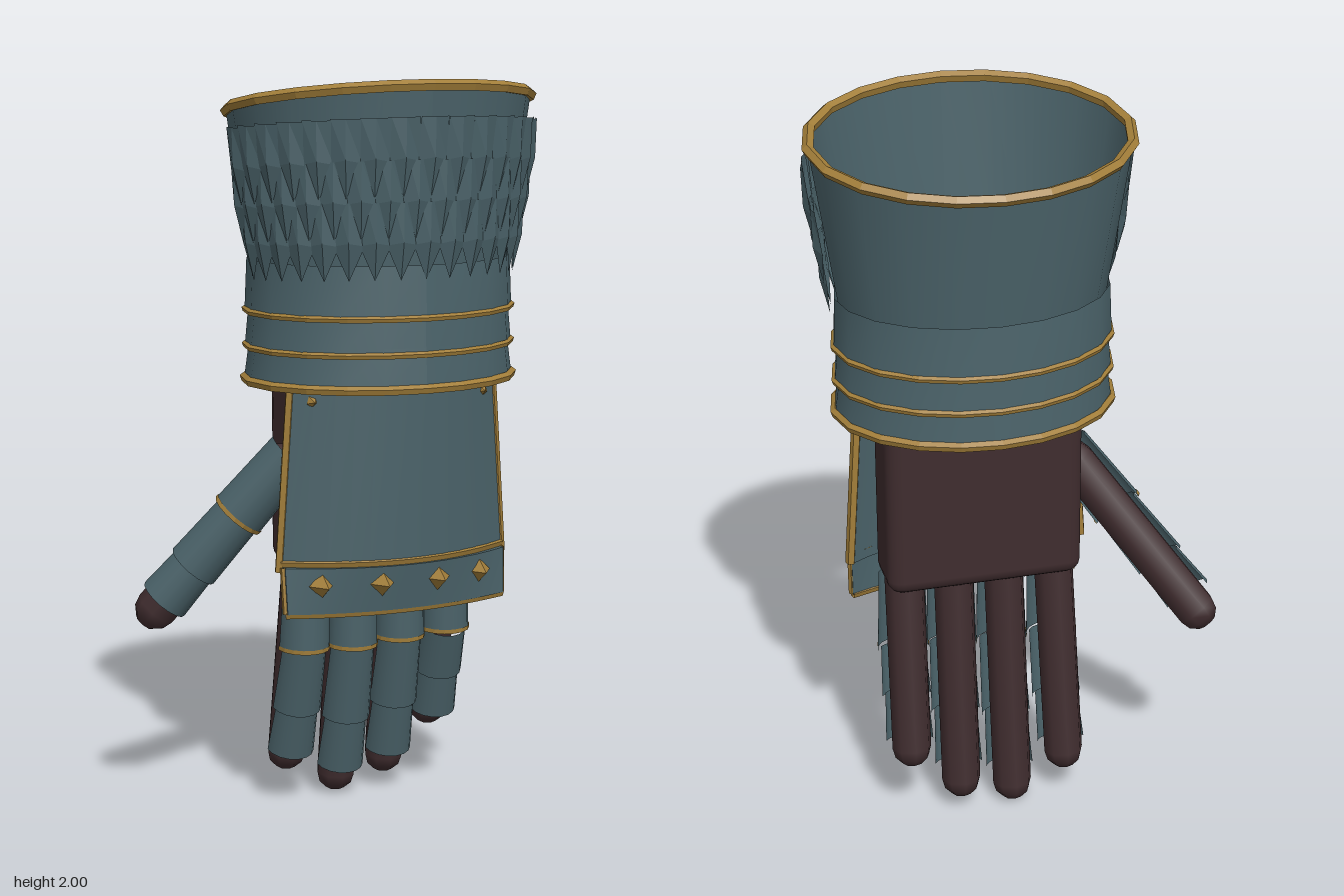
import * as THREE from 'three';
import { RoundedBoxGeometry } from 'three/addons/geometries/RoundedBoxGeometry.js';
import { mergeGeometries } from 'three/addons/utils/BufferGeometryUtils.js';

const V = (x, y, z) => new THREE.Vector3(x, y, z);
const CX = 0.105, CZ = -0.005;

export function createModel() {
  const group = new THREE.Group();
  const mat = (name, color, flatShading = false) => {
    const m = new THREE.MeshStandardMaterial({ color, side: THREE.DoubleSide, flatShading });
    m.name = name;
    return m;
  };
  const steel = mat('steel', 0x4b636a);
  const gold = mat('gold', 0xa27e39, true);
  const leather = mat('leather', 0x3f2c2e);

  const add = (name, geometry, material, parent = group) => {
    const mesh = new THREE.Mesh(geometry, material);
    mesh.name = name;
    parent.add(mesh);
    return mesh;
  };
  const tube = (points, r, closed = false, n = 20) =>
    new THREE.TubeGeometry(new THREE.CatmullRomCurve3(points, closed), n, r, 5, closed);

  // Place a mesh so its y axis runs from bottom to top and its z axis looks along face
  const orient = (mesh, top, bottom, face) => {
    const y = top.clone().sub(bottom).normalize();
    const x = y.clone().cross(face).normalize();
    const z = x.clone().cross(y);
    mesh.quaternion.setFromRotationMatrix(new THREE.Matrix4().makeBasis(x, y, z));
    mesh.position.copy(top).add(bottom).multiplyScalar(0.5);
  };

  // Oval open sleeve, optionally with a sloping top edge
  const sleeve = (y0, rx0, rz0, y1, rx1, rz1, slope = 0) => {
    const g = new THREE.CylinderGeometry(1, 1, 1, 20, 1, true);
    const p = g.attributes.position;
    for (let i = 0; i < p.count; i++) {
      const t = p.getY(i) + 0.5;
      const z = CZ + p.getZ(i) * (rz0 + (rz1 - rz0) * t);
      p.setXYZ(i, CX + p.getX(i) * (rx0 + (rx1 - rx0) * t), y0 + (y1 - y0) * t + slope * z * t, z);
    }
    g.computeVertexNormals();
    return g;
  };
  const ovalTrim = (y, rx, rz, r, slope = 0) => {
    const pts = [];
    for (let i = 0; i < 20; i++) {
      const a = i / 20 * Math.PI * 2, z = CZ + rz * Math.cos(a);
      pts.push(V(CX + rx * Math.sin(a), y + slope * z, z));
    }
    return tube(pts, r, true);
  };

  // Cuff with gold rim
  add('cuff', sleeve(1.48, 0.352, 0.278, 1.93, 0.42, 0.326, 0.17), steel);
  add('cuffRim', ovalTrim(1.931, 0.42, 0.326, 0.016, 0.17), gold);

  // Overlapping wrist bands
  [[1.525, 1.385, 0.366, 0.372, 0.296], [1.41, 1.29, 0.36, 0.372, 0.294], [1.31, 1.2, 0.358, 0.374, 0.3]]
    .forEach(([top, bottom, r1, r0, z0], i) => {
      add('wristBand' + i, sleeve(bottom, r0, z0, top, r1, z0 - 0.006), steel);
      add('wristTrim' + i, ovalTrim(bottom + 0.002, r0, z0, i === 2 ? 0.013 : 0.009), gold);
    });

  // Ridged leaf scale hanging from its top edge
  const scaleLeaf = (w, h, topW) => {
    const pts = [[-topW, 0, 0], [0, 0, 0.006], [topW, 0, 0], [-w, -h * 0.55, 0], [0, -h * 0.5, 0.016],
      [w, -h * 0.55, 0], [0, -h, 0.004]];
    const faces = [0, 3, 4, 0, 4, 1, 1, 4, 5, 1, 5, 2, 3, 6, 4, 4, 6, 5];
    const g = new THREE.BufferGeometry();
    g.setAttribute('position', new THREE.Float32BufferAttribute(faces.flatMap(i => pts[i]), 3));
    g.computeVertexNormals();
    return g;
  };

  // Staggered rows of scales across the front half of the cuff
  const scales = [];
  for (let row = 0; row < 3; row++) {
    const n = 17;
    for (let i = 0; i < n + row % 2; i++) {
      const a = (i + 0.5 - (row % 2) * 0.5) / n * Math.PI - Math.PI / 2;
      const t = 0.9 - row * 0.23, off = 0.018 - row * 0.002;
      const rx = 0.354 + 0.066 * t + off, rz = 0.28 + 0.046 * t + off;
      const z = CZ + rz * Math.cos(a);
      const g = scaleLeaf(0.041, 0.205, row ? 0.028 : 0.039);
      g.rotateX(0.13);
      g.rotateY(Math.atan2(Math.sin(a) / rx, Math.cos(a) / rz));
      g.translate(CX + rx * Math.sin(a), 1.872 - row * 0.097 + 0.11 * z * (1 - row * 0.3), z);
      scales.push(g);
    }
  }
  add('cuffScales', mergeGeometries(scales), steel);

  // Curved plate, bowed forward in the middle
  const bow = (u, y, half, zc, depth) => V(0.105 + u * half, y, zc - depth * u * u);
  const bowedPlate = (top, bottom, thick) => {
    const g = new THREE.BoxGeometry(2, 1, thick, 12, 1, 1);
    const p = g.attributes.position;
    for (let i = 0; i < p.count; i++) {
      const [y, half, zc, depth] = p.getY(i) > 0 ? top : bottom;
      const v = bow(p.getX(i), y, half, zc, depth);
      p.setXYZ(i, v.x, v.y, v.z + p.getZ(i));
    }
    g.computeVertexNormals();
    return g;
  };
  const bowTrim = ([y, half, zc, depth], r) =>
    tube([-1, -0.67, -0.33, 0, 0.33, 0.67, 1].map(u => bow(u, y, half, zc, depth)), r, false, 12);

  // Back-of-hand plate and knuckle guard
  const plateTop = [1.215, 0.295, 0.192, 0.11], plateBottom = [0.7, 0.33, 0.182, 0.1];
  const guardTop = [0.715, 0.325, 0.188, 0.09], guardBottom = [0.59, 0.322, 0.168, 0.06];
  add('handPlate', bowedPlate(plateTop, plateBottom, 0.02), steel);
  add('handPlateTopTrim', bowTrim(plateTop, 0.014), gold);
  add('handPlateBottomTrim', bowTrim([0.725, 0.328, 0.186, 0.1], 0.012), gold);
  add('knuckleGuard', bowedPlate(guardTop, guardBottom, 0.025), steel);
  add('knuckleGuardTrim', bowTrim([0.588, 0.322, 0.166, 0.06], 0.013), gold);
  for (const s of [-1, 1]) {
    add('handPlateSideTrim', tube([bow(s, ...plateTop), bow(s, ...plateBottom)], 0.014, false, 1), gold);
    add('knuckleGuardSideTrim', tube([bow(s, ...guardTop), bow(s, ...guardBottom)], 0.01, false, 1), gold);
    const rivet = add('plateRivet', new THREE.ConeGeometry(0.017, 0.02, 5), gold);
    rivet.rotation.x = Math.PI / 2;
    rivet.position.set(0.105 + s * 0.25, 1.16, 0.13);
  }

  // Pyramid studs on the knuckle guard
  for (const x of [-0.13, 0.03, 0.195, 0.335]) {
    const u = (x - 0.105) / 0.323;
    const stud = add('knuckleStud', new THREE.ConeGeometry(0.036, 0.05, 4), gold);
    stud.rotation.set(Math.PI / 2, 0, 0);
    stud.position.set(x, 0.668, 0.212 - 0.08 * u * u);
  }

  // Leather palm
  const palm = add('palm', new RoundedBoxGeometry(0.54, 0.51, 0.19, 2, 0.04), leather);
  palm.position.set(0.1, 0.945, -0.035);

  // Leather digit with three overlapping half-round armour plates
  const digit = (name, base, tip, r, joints, face) => {
    const g = new THREE.Group();
    g.name = name;
    group.add(g);
    const core = add('leatherFinger', new THREE.CapsuleGeometry(r, base.distanceTo(tip), 3, 8), leather, g);
    orient(core, base, tip, face);
    for (let i = 0; i < 3; i++) {
      const a = joints[i].clone(), b = joints[i + 1];
      a.lerp(b, i ? -0.06 : 0);
      const shell = (rt, rb, h) => new THREE.CylinderGeometry(rt, rb, h, 8, 1, true, -Math.PI / 2, Math.PI);
      const k = r / 0.055 * (1 - i * 0.03);
      orient(add('fingerPlate' + i, shell(0.064 * k, 0.071 * k, a.distanceTo(b)), steel, g), a, b, face);
      if (i === 0) {
        const end = b.clone().lerp(a, 0.012 / a.distanceTo(b));
        orient(add('fingerTrim', shell(0.073 * k, 0.073 * k, 0.012), gold, g), end, b, face);
      }
    }
  };

  // Four fingers: base x, tip x, tip height, plate joint heights
  const jointZ = [-0.012, -0.025, -0.07, -0.108];
  [
    ['indexFinger', -0.108, -0.118, 0.08, [0.7, 0.455, 0.28, 0.15]],
    ['middleFinger', 0.034, 0.032, 0.0, [0.7, 0.45, 0.24, 0.09]],
    ['ringFinger', 0.175, 0.18, 0.035, [0.7, 0.46, 0.27, 0.12]],
    ['littleFinger', 0.312, 0.32, 0.16, [0.7, 0.47, 0.345, 0.22]],
  ].forEach(([name, x0, x1, low, ys]) => {
    const joints = ys.map((y, i) => V(x0 + (x1 - x0) * i / 3, y, jointZ[i]));
    digit(name, V(x0, 0.71, -0.045), V(x1, low + 0.056, -0.132), 0.055, joints, V(0, 0, 1));
  });

  // Thumb, angled out and back
  const thumbBase = V(-0.18, 0.975, -0.005), thumbTip = V(-0.48, 0.565, -0.185);
  const thumbFace = V(-0.35, 0.2, 1).normalize();
  const thumbJoints = [-0.08, 0.35, 0.7, 0.93].map(t =>
    thumbBase.clone().lerp(thumbTip, t).addScaledVector(thumbFace, 0.012));
  digit('thumb', thumbBase, thumbTip, 0.058, thumbJoints, thumbFace);

  return group;
}
